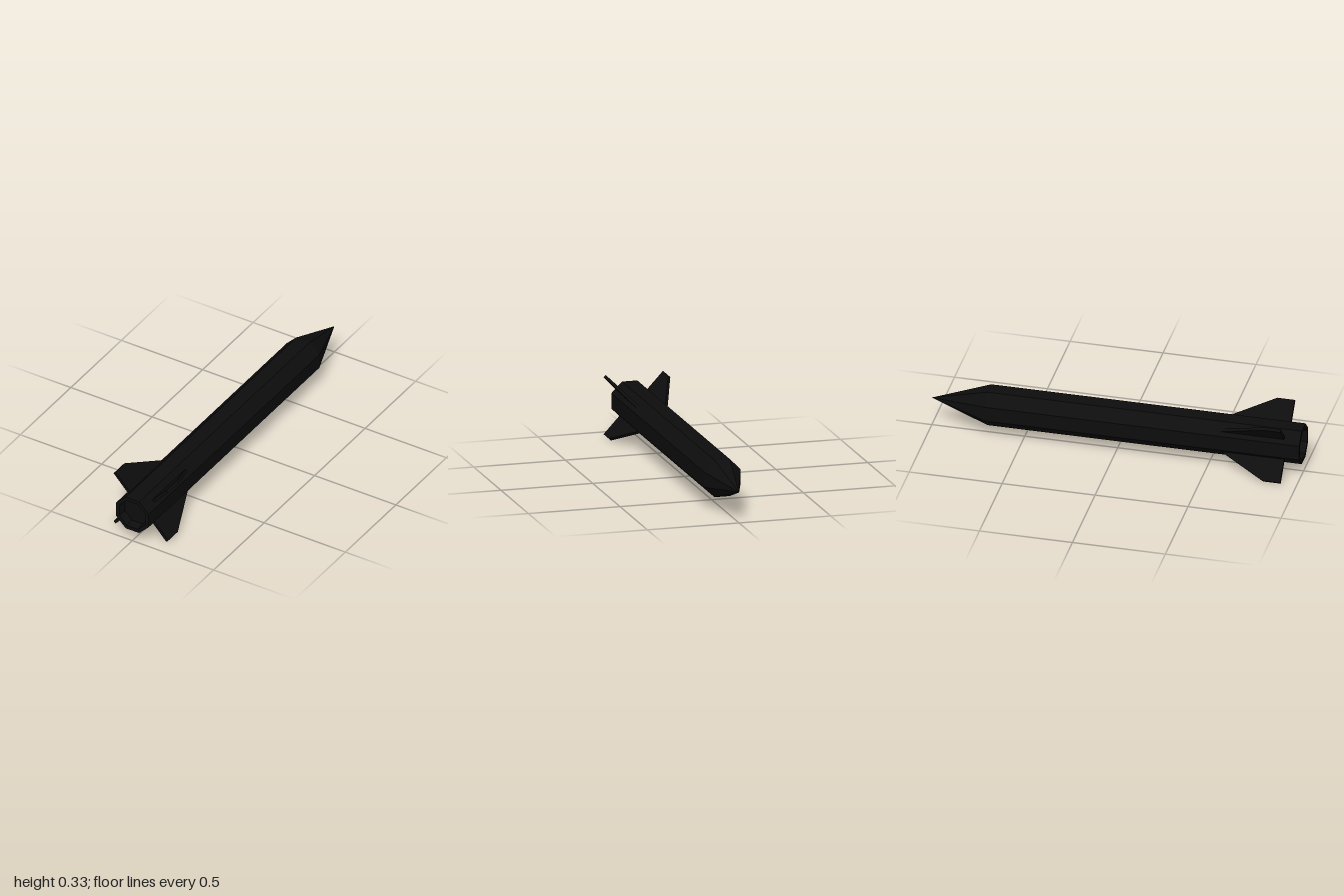
import * as THREE from 'three';

const AXIS_Y = 0.165; // height of the body's long axis

export function createModel() {
  const model = new THREE.Group();
  model.name = 'rocket';
  const black = new THREE.MeshStandardMaterial({ color: 0x0d0d0d, flatShading: true });
  black.name = 'matte black';

  // Octagonal hull: pointed nose, straight tube, shallow recessed tail
  const R = 0.1 / Math.cos(Math.PI / 8);
  const profile = [
    [0, -1], [R, -0.69], [R, 1], [R * 0.8, 1], [R * 0.75, 0.95], [0, 0.95],
  ].map(([r, z]) => new THREE.Vector2(r, z));
  const hullGeometry = new THREE.LatheGeometry(profile, 8, Math.PI / 8);
  hullGeometry.rotateX(Math.PI / 2);
  const hull = new THREE.Mesh(hullGeometry, black);
  hull.name = 'hull';
  hull.position.y = AXIS_Y;
  model.add(hull);

  // Fin outline: x runs outward and is 0 at the tip, y runs along the body
  const outline = new THREE.Shape([
    [-0.15, 0.915], [0, 0.915], [0, 0.82], [-0.15, 0.535],
  ].map(([u, v]) => new THREE.Vector2(u, v)));
  const thickness = 0.016;
  const finGeometry = new THREE.ExtrudeGeometry(outline, { depth: thickness, bevelEnabled: false });
  finGeometry.translate(0, 0, -thickness / 2);

  // Four fins in an X arrangement
  const along = new THREE.Vector3(0, 0, 1);
  for (const sx of [1, -1]) {
    for (const sy of [1, -1]) {
      const outward = new THREE.Vector3(sx * 0.682, sy * 0.731, 0).normalize();
      const across = new THREE.Vector3().crossVectors(outward, along);
      const fin = new THREE.Mesh(finGeometry, black);
      fin.name = (sy > 0 ? 'upper' : 'lower') + (sx > 0 ? 'Left' : 'Right') + 'Fin';
      fin.quaternion.setFromRotationMatrix(new THREE.Matrix4().makeBasis(outward, along, across));
      fin.position.set(sx * 0.162, AXIS_Y + sy * 0.159, 0);
      model.add(fin);
    }
  }
  return model;
}
